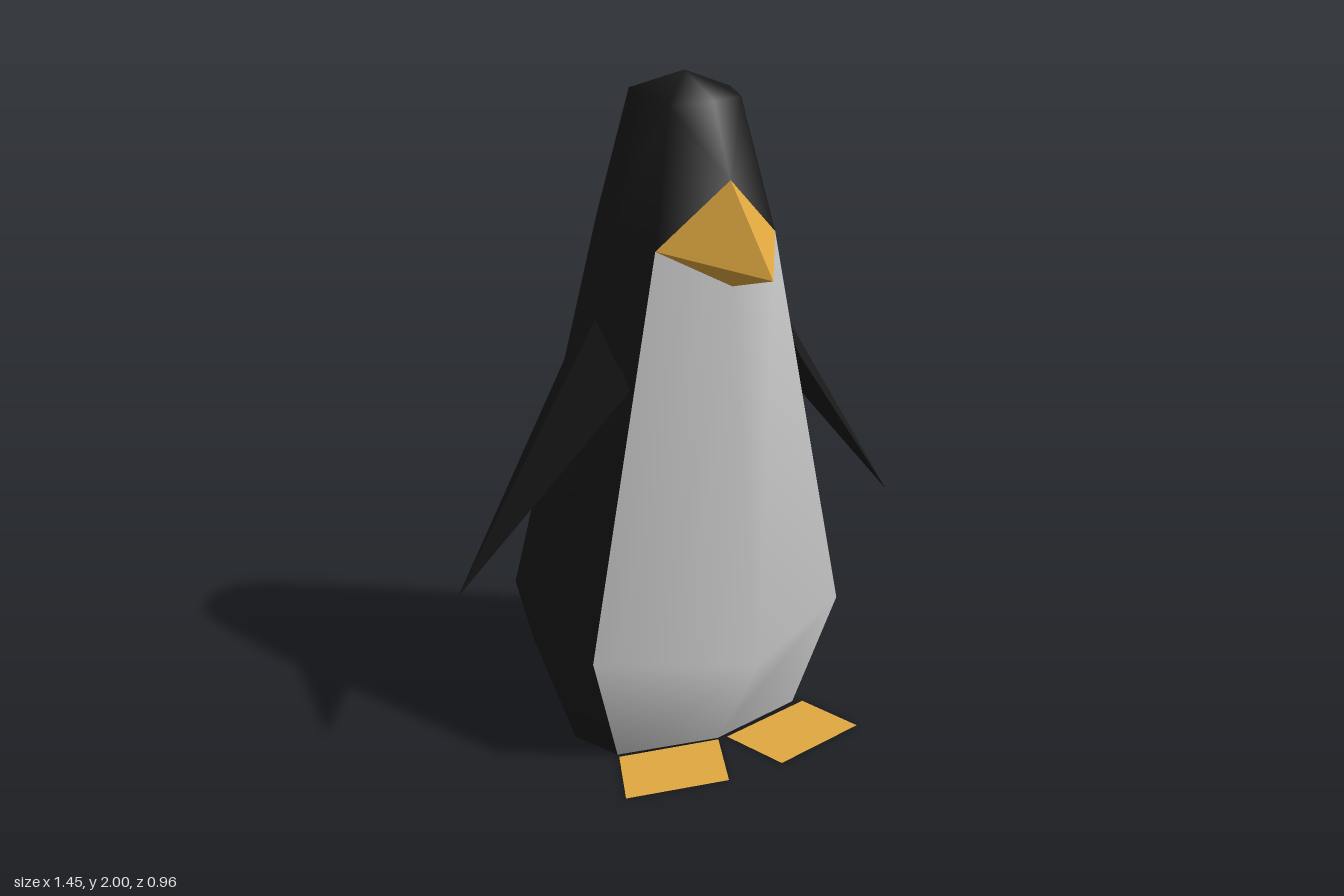
import * as THREE from 'three';

const BLACK = 0x1a1a1a, GREY = 0xcccccc, ORANGE = 0xe0a840;

// Mesh from a few corner points and triangles; smooth unless flat is set
function facets(name, color, points, triangles, flat = false) {
  let geo = new THREE.BufferGeometry();
  geo.setAttribute('position', new THREE.Float32BufferAttribute(points.flat(), 3));
  geo.setIndex(triangles.flat());
  if (flat) geo = geo.toNonIndexed();
  geo.computeVertexNormals();
  const mesh = new THREE.Mesh(geo, new THREE.MeshStandardMaterial({ color, side: THREE.DoubleSide }));
  mesh.name = name;
  return mesh;
}

// Quads between successive rows of n points (rows run counter-clockwise from above)
function loft(rows, n) {
  const tris = [];
  for (let r = 0; r < rows - 1; r++)
    for (let i = 0; i < n - 1; i++) {
      const a = r * n + i, b = a + 1, c = b + n, d = a + n;
      tris.push([a, b, c], [a, c, d]);
    }
  return tris;
}

// Half cross-sections: front corner, side, back corner, back centre
const section = (y, corner, side, backCorner, back) => {
  const half = [[corner[0], y, corner[1]], [side, y, 0], [backCorner[0], y, backCorner[1]]];
  const mirrored = half.map(([x, h, z]) => [-x, h, z]).reverse();
  return [...half, [0, y, back], ...mirrored];
};

export function createModel() {
  const group = new THREE.Group();

  // Dark coat: open at the front below the beak, closed over the head
  const rows = [
    section(0, [0.305, 0.145], 0.375, [0.305, -0.34], -0.465),
    section(0.38, [0.41, 0.213], 0.5, [0.41, -0.34], -0.48),
    section(1.57, [0.185, 0.18], 0.225, [0.185, -0.18], -0.245),
    section(1.94, [0.11, 0.115], 0.142, [0.11, -0.115], -0.155),
  ];
  const coat = rows.flat();
  const tris = loft(4, 7);
  const apex = coat.push([0, 2, 0]) - 1;
  const brow = coat.push([0, 1.76, 0.255]) - 1;
  const crown = coat.push([0, 1.95, 0.16]) - 1;
  for (let i = 21; i < 27; i++) tris.push([i, i + 1, apex]);
  tris.push([27, crown, apex], [crown, 21, apex]);
  tris.push([brow, 14, 21], [brow, 21, crown], [20, brow, 27], [brow, crown, 27]);
  group.add(facets('coat', BLACK, coat, tris));

  // Pale belly with a central ridge
  const fronts = [[0, 0, 0.21], [0, 0.38, 0.44], [0, 1.47, 0.27]];
  const belly = fronts.flatMap((f, i) => [rows[i][6], f, rows[i][0]]);
  group.add(facets('belly', GREY, belly, loft(3, 3)));

  // Underside, pale on one part and dark on the rest
  const [fl, l, bl, b, br, r, fr] = rows[0];
  const hub = [0, 0, -0.26], mid = [0.15, 0, -0.402];
  const fan = (name, color, rim) => {
    const t = [];
    for (let i = 1; i < rim.length; i++) t.push([0, i + 1, i]);
    group.add(facets(name, color, [hub, ...rim], t, true));
  };
  fan('undersidePale', GREY, [fr, fronts[0], fl, l, bl, mid]);
  fan('undersideDark', BLACK, [mid, b, br, r, fr]);

  // Beak: four-sided pyramid
  group.add(facets('beak', ORANGE,
    [[0, 1.55, 0.48], [0, 1.76, 0.255], [-0.185, 1.57, 0.18], [0, 1.47, 0.27], [0.185, 1.57, 0.18]],
    [[0, 1, 2], [0, 2, 3], [0, 3, 4], [0, 4, 1]], true));

  for (const s of [1, -1]) {
    const side = s > 0 ? 'left' : 'right';
    const turn = (t) => (s > 0 ? t : [t[0], t[2], t[1]]);

    // Flipper: pyramid hanging outward from the shoulder
    const flipper = [[0.725, 0.58, 0], [0.265, 1.36, 0], [0.27, 1.19, 0.19], [0.3, 1.11, 0], [0.27, 1.19, -0.19]];
    group.add(facets(side + 'Flipper', BLACK, flipper.map(([x, y, z]) => [x * s, y, z]),
      [[0, 1, 2], [0, 2, 3], [0, 3, 4], [0, 4, 1]].map(turn), true));

    // Foot: flat splayed sheet
    const foot = [[0.015, 0.22], [0.09, 0.417], [0.395, 0.355], [0.32, 0.16]];
    group.add(facets(side + 'Foot', ORANGE, foot.map(([x, z]) => [x * s + 0.013, 0.002, z]),
      [[0, 1, 2], [0, 2, 3]].map(turn), true));
  }
  return group;
}
